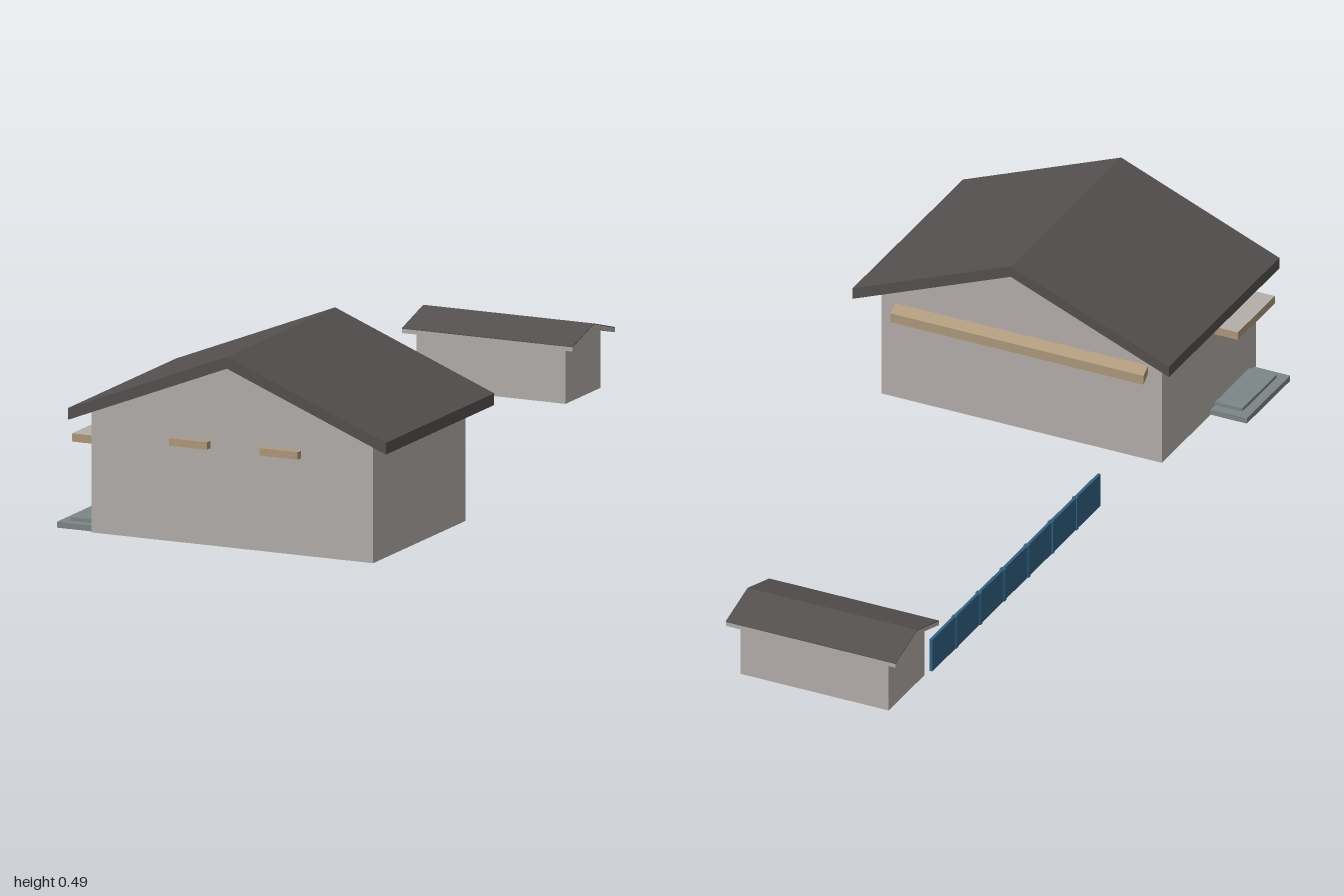
import * as THREE from 'three';

const mat = (name, color, extra = {}) => {
  const m = new THREE.MeshStandardMaterial({ color, ...extra });
  m.name = name;
  return m;
};

export function createModel() {
  const wall = mat('wall grey', 0xb3aeaa);
  const roof = mat('roof dark brown', 0x555050);
  const wood = mat('wood tan', 0xae997b);
  const stone = mat('step grey', 0x7d8686);
  const blue = mat('fence blue', 0x316082);

  const model = new THREE.Group();
  model.name = 'houseWithShed';

  const add = (parent, name, geometry, material) => {
    const mesh = new THREE.Mesh(geometry, material);
    mesh.name = name;
    parent.add(mesh);
    return mesh;
  };

  // Box given by its limits on each axis
  const box = (parent, name, [x0, x1], [y0, y1], [z0, z1], material) => {
    const g = new THREE.BoxGeometry(x1 - x0, y1 - y0, z1 - z0);
    g.translate((x0 + x1) / 2, (y0 + y1) / 2, (z0 + z1) / 2);
    return add(parent, name, g, material);
  };

  // Profile in x and y, extruded along z and centred on z = 0
  const prism = (points, length) => {
    const shape = new THREE.Shape(points.map(([x, y]) => new THREE.Vector2(x, y)));
    const g = new THREE.ExtrudeGeometry(shape, { depth: length, bevelEnabled: false });
    return g.translate(0, 0, -length / 2);
  };

  // Five-sided gable wall block
  const gableBody = (half, base, eave, apex, length) =>
    prism([[-half, base], [half, base], [half, eave], [0, apex], [-half, eave]], length);

  // Folded roof slab of constant vertical thickness
  const gableRoof = (half, eave, apex, t, length) =>
    prism([[-half, eave - t], [0, apex - t], [half, eave - t],
      [half, eave], [0, apex], [-half, eave]], length);

  // Main house, ridge along z
  const house = new THREE.Group();
  house.name = 'house';
  model.add(house);
  add(house, 'houseWalls', gableBody(0.388, 0, 0.307, 0.46, 0.52), wall).position.set(0.023, 0, 0.71);
  add(house, 'houseRoof', gableRoof(0.438, 0.317, 0.491, 0.03, 0.61), roof).position.set(0.023, 0, 0.695);

  // Small hoods on the front gable
  for (const x of [-0.142, 0.108]) {
    box(house, 'frontHood', [x, x + 0.105], [0.247, 0.266], [0.965, 0.99], wood);
  }

  // Long sloping hood across the back gable, profile turned so it runs along x
  const backHood = prism([[-0.005, 0.248], [0.025, 0.225], [0.025, 0.25], [-0.005, 0.27]], 0.7);
  backHood.rotateY(Math.PI / 2);
  add(house, 'backHood', backHood, wood).position.set(0.023, 0, 0.45);

  // Door canopy with a grey top
  box(house, 'doorCanopy', [-0.43, -0.36], [0.219, 0.24], [0.74, 0.945],
    [wood, wood, wall, wood, wood, wood]);

  // Entrance steps
  box(house, 'lowerStep', [-0.465, -0.36], [0, 0.015], [0.72, 0.96], stone);
  box(house, 'upperStep', [-0.44, -0.36], [0.015, 0.024], [0.745, 0.935], stone);

  // Shed, ridge along x
  const shed = new THREE.Group();
  shed.name = 'shed';
  shed.position.set(-0.12, 0, -0.88);
  shed.rotation.y = Math.PI / 2;
  model.add(shed);
  add(shed, 'shedWalls', gableBody(0.0985, 0.01, 0.157, 0.185, 0.41), wall);
  add(shed, 'shedRoofTrim', gableRoof(0.12, 0.161, 0.195, 0.011, 0.47), wall);
  add(shed, 'shedRoof', gableRoof(0.12, 0.163, 0.197, 0.002, 0.47), roof);

  // Fence of seven panels with posts at the joints
  const fence = new THREE.Group();
  fence.name = 'fence';
  model.add(fence);
  const start = -0.755, step = 0.93 / 7;
  for (let i = 0; i < 7; i++) {
    const z = start + i * step;
    box(fence, 'fencePanel', [-0.334, -0.326], [0.01, 0.1], [z, z + step], blue);
    if (i > 0) box(fence, 'fencePost', [-0.337, -0.323], [0.01, 0.1], [z - 0.005, z + 0.005], blue);
  }
  return model;
}
